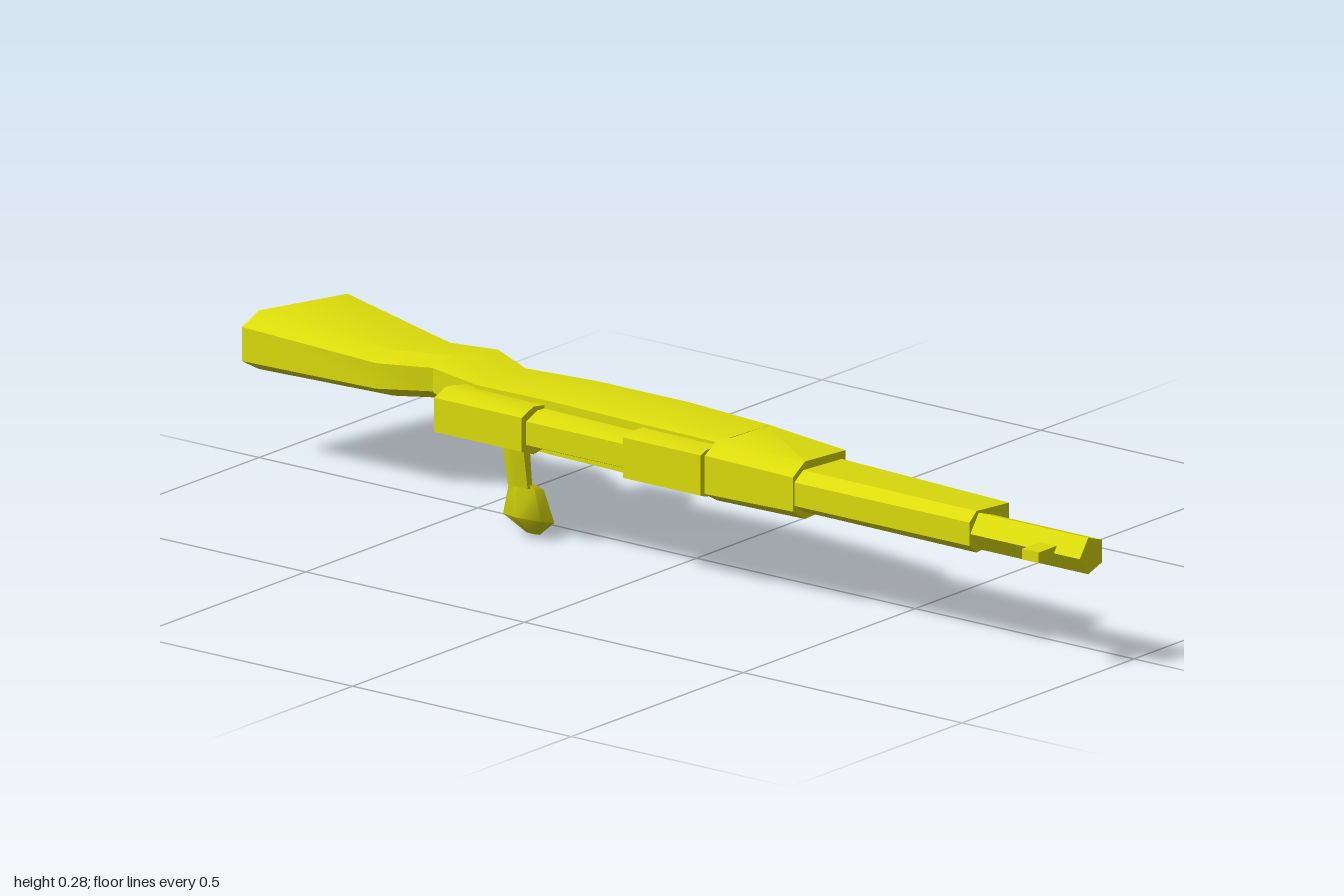
import * as THREE from 'three';
import { toCreasedNormals } from 'three/addons/utils/BufferGeometryUtils.js';

const MID = 0.231; // height of the plane of symmetry

// Skin a list of rings (arrays of [x, y, z]) and cap both ends
function loft(rings, crease = 0.6) {
  const pos = [];
  const tri = (a, b, c) => pos.push(...a, ...b, ...c);
  const n = rings[0].length;
  for (let r = 0; r < rings.length - 1; r++) {
    const a = rings[r], b = rings[r + 1];
    for (let i = 0; i < n; i++) {
      const j = (i + 1) % n;
      tri(a[i], a[j], b[j]);
      tri(a[i], b[j], b[i]);
    }
  }
  const first = rings[0], last = rings[rings.length - 1];
  for (let i = 1; i < n - 1; i++) {
    tri(first[0], first[i + 1], first[i]);
    tri(last[0], last[i], last[i + 1]);
  }
  const g = new THREE.BufferGeometry();
  g.setAttribute('position', new THREE.Float32BufferAttribute(pos, 3));
  return toCreasedNormals(g, crease);
}

// Six-sided section: half widths and z at the under, side and upper edges
function section(xb, zb, hb, zm, hm, xt, zt, ht) {
  const xm = xb + (xt - xb) * (zm - zb) / (zt - zb);
  return [
    [xm, MID + hm, zm], [xt, MID + ht, zt], [xt, MID - ht, zt],
    [xm, MID - hm, zm], [xb, MID - hb, zb], [xb, MID + hb, zb],
  ];
}

// Same section at both ends
const bar = (x0, x1, ...s) =>
  loft([x0, x1].map((x) => section(x, s[0], s[1], s[2], s[3], x, s[4], s[5])));

export function createModel() {
  const model = new THREE.Group();
  const yellow = new THREE.MeshStandardMaterial({ color: 0xdbdb0c });
  yellow.name = 'yellow';
  const add = (name, geometry) => {
    const mesh = new THREE.Mesh(geometry, yellow);
    mesh.name = name;
    model.add(mesh);
    return mesh;
  };

  // Butt, wrist and body of the stock
  add('stock', loft([
    section(-0.955, -0.2, 0.043, 0.01, 0.055, -1, 0.05, 0.032),
    section(-0.635, -0.09, 0.038, 0.02, 0.043, -0.69, 0.055, 0.024),
    section(-0.54, -0.11, 0.038, -0.025, 0.04, -0.595, 0.01, 0.022),
    section(-0.415, -0.03, 0.046, 0.075, 0.05, -0.42, 0.105, 0.046),
    section(-0.25, -0.03, 0.053, 0.09, 0.057, -0.25, 0.112, 0.05),
    section(-0.04, -0.03, 0.053, 0.1, 0.057, -0.04, 0.12, 0.05),
    section(0.16, -0.01, 0.053, 0.105, 0.057, 0.16, 0.125, 0.05),
  ]));

  // Fore-end and the slimmer handguard ahead of it
  add('foreEnd', loft([
    section(0.15, -0.011, 0.053, 0.13, 0.057, 0.15, 0.167, 0.036),
    section(0.35, 0.012, 0.047, 0.13, 0.054, 0.35, 0.165, 0.032),
  ]));
  add('handguard', loft([
    section(0.34, 0.022, 0.033, 0.135, 0.039, 0.34, 0.161, 0.022),
    section(0.75, 0.045, 0.032, 0.14, 0.039, 0.75, 0.16, 0.022),
  ]));

  // Five-sided barrel with its ridge on the sight side
  const barrelRing = (x) => Array.from({ length: 5 }, (_, i) => {
    const a = Math.PI / 2 + i * Math.PI * 2 / 5;
    return [x, MID + 0.036 * Math.cos(a), 0.122 + 0.036 * Math.sin(a)];
  });
  add('barrel', loft([barrelRing(0.74), barrelRing(1)]));
  const sight = add('frontSight', new THREE.BoxGeometry(0.038, 0.02, 0.06));
  sight.position.set(0.922, MID + 0.002, 0.172);

  // Action along the upper edge
  add('boltHousing', bar(-0.46, -0.26, 0.085, 0.036, 0.143, 0.045, 0.178, 0.032));
  add('boltTube', bar(-0.27, -0.02, 0.09, 0.033, 0.133, 0.035, 0.165, 0.022));
  add('rearSightBlock', bar(-0.03, 0.147, 0.1, 0.044, 0.158, 0.044, 0.175, 0.038));

  // Solid trigger guard under the stock
  const guard = new THREE.Shape();
  [[-0.43, 0], [-0.255, 0], [-0.255, 0.03], [-0.305, 0.11], [-0.405, 0.102], [-0.43, 0.03]]
    .forEach(([x, y], i) => (i ? guard.lineTo(x, y) : guard.moveTo(x, y)));
  const guardGeo = new THREE.ExtrudeGeometry(guard, { depth: 0.04, bevelEnabled: false });
  guardGeo.rotateX(-Math.PI / 2);
  add('triggerGuard', guardGeo).position.y = MID - 0.019;

  // Bolt handle: rings of [y, z, x radius, z radius] going down
  const hang = (rows) => loft(rows.map(([y, z, rx, rz]) =>
    Array.from({ length: 6 }, (_, i) => {
      const a = i * Math.PI / 3 + Math.PI / 6;
      const dz = rz * Math.sin(a);
      return [-0.32 + rx * Math.cos(a), y + dz * 0.28, z + dz];
    })), 0.9);
  add('boltHandle', hang([[0.2, 0.12, 0.028, 0.02], [0.105, 0.106, 0.026, 0.014]]));
  add('boltKnob', hang([
    [0.117, 0.106, 0.02, 0.012],
    [0.101, 0.088, 0.034, 0.027],
    [0.04, 0.081, 0.05, 0.039],
    [0.008, 0.068, 0.014, 0.008],
  ]));

  return model;
}
